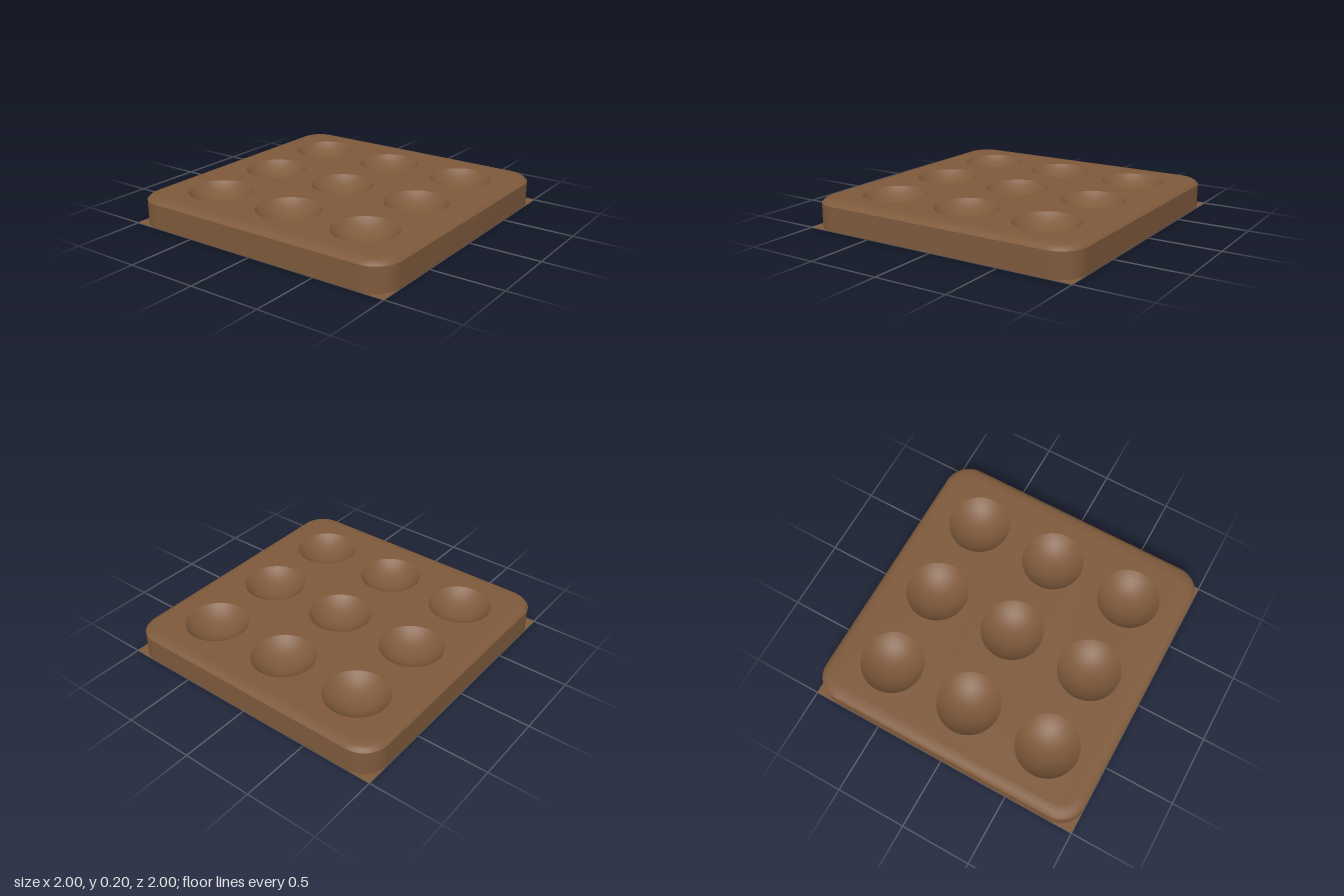
import * as THREE from 'three';

const CORNER = 0.18, TOP = 0.2, BOWL_R = 0.22, BOWL_DEPTH = 0.1;

// Rounded-square outline, inset from the outer edge, as [x, z] points
function outline(inset) {
  const pts = [], c = 1 - CORNER, r = CORNER - inset, steps = 10;
  for (let q = 0; q < 4; q++) {
    const a0 = q * Math.PI / 2;
    const cx = q === 0 || q === 3 ? c : -c, cz = q < 2 ? c : -c;
    for (let i = 0; i <= steps; i++) {
      const a = a0 + (i / steps) * Math.PI / 2;
      pts.push([cx + r * Math.cos(a), cz + r * Math.sin(a)]);
    }
  }
  return pts;
}

// Skin joining outlines given as [inset, height] pairs
function loft(profile) {
  const pos = [], idx = [], n = outline(0).length;
  for (const [inset, y] of profile) for (const [x, z] of outline(inset)) pos.push(x, y, z);
  for (let k = 0; k < profile.length - 1; k++) {
    for (let i = 0; i < n; i++) {
      const a = k * n + i, b = k * n + (i + 1) % n;
      idx.push(a, a + n, b, b, a + n, b + n);
    }
  }
  const g = new THREE.BufferGeometry();
  g.setAttribute('position', new THREE.Float32BufferAttribute(pos, 3));
  g.setIndex(idx);
  g.computeVertexNormals();
  return g;
}

export function createModel() {
  const group = new THREE.Group();
  const brown = new THREE.MeshStandardMaterial({ color: 0x7f5a3c, side: THREE.DoubleSide });
  brown.name = 'brown';
  const add = (name, geometry) => {
    const mesh = new THREE.Mesh(geometry, brown);
    mesh.name = name;
    group.add(mesh);
    return mesh;
  };

  // Square sheet under the tray
  add('base', new THREE.PlaneGeometry(2, 2).rotateX(Math.PI / 2));

  // Upright sides and softened upper edge
  add('sideWall', loft([[0, 0], [0, 0.17]]));
  add('bevel', loft([[0, 0.17], [0.015, 0.186], [0.035, 0.197], [0.08, TOP]]));

  // Flat top with nine round openings (shape y becomes -z)
  const face = new THREE.Shape(outline(0.08).map(([x, z]) => new THREE.Vector2(x, z)));
  const centres = [];
  for (const x of [-0.6, 0, 0.6]) for (const z of [-0.6, 0, 0.6]) centres.push([x, z]);
  for (const [x, z] of centres) {
    face.holes.push(new THREE.Path().absarc(x, z, BOWL_R, 0, Math.PI * 2, true));
  }
  add('topFace', new THREE.ShapeGeometry(face, 24).rotateX(-Math.PI / 2).translate(0, TOP, 0));

  // Shallow spherical bowls set into the openings
  const sphereR = (BOWL_R ** 2 + BOWL_DEPTH ** 2) / (2 * BOWL_DEPTH);
  const rimAngle = Math.asin(BOWL_R / sphereR);
  const profile = [];
  for (let i = 0; i <= 10; i++) {
    const a = (i / 10) * rimAngle;
    profile.push(new THREE.Vector2(sphereR * Math.sin(a), sphereR * (1 - Math.cos(a)) - BOWL_DEPTH));
  }
  // Reversed so the inner surface is the front
  const bowl = new THREE.LatheGeometry(profile.reverse(), 48);
  for (const [x, z] of centres) add('bowl', bowl).position.set(x, TOP, z);

  return group;
}
